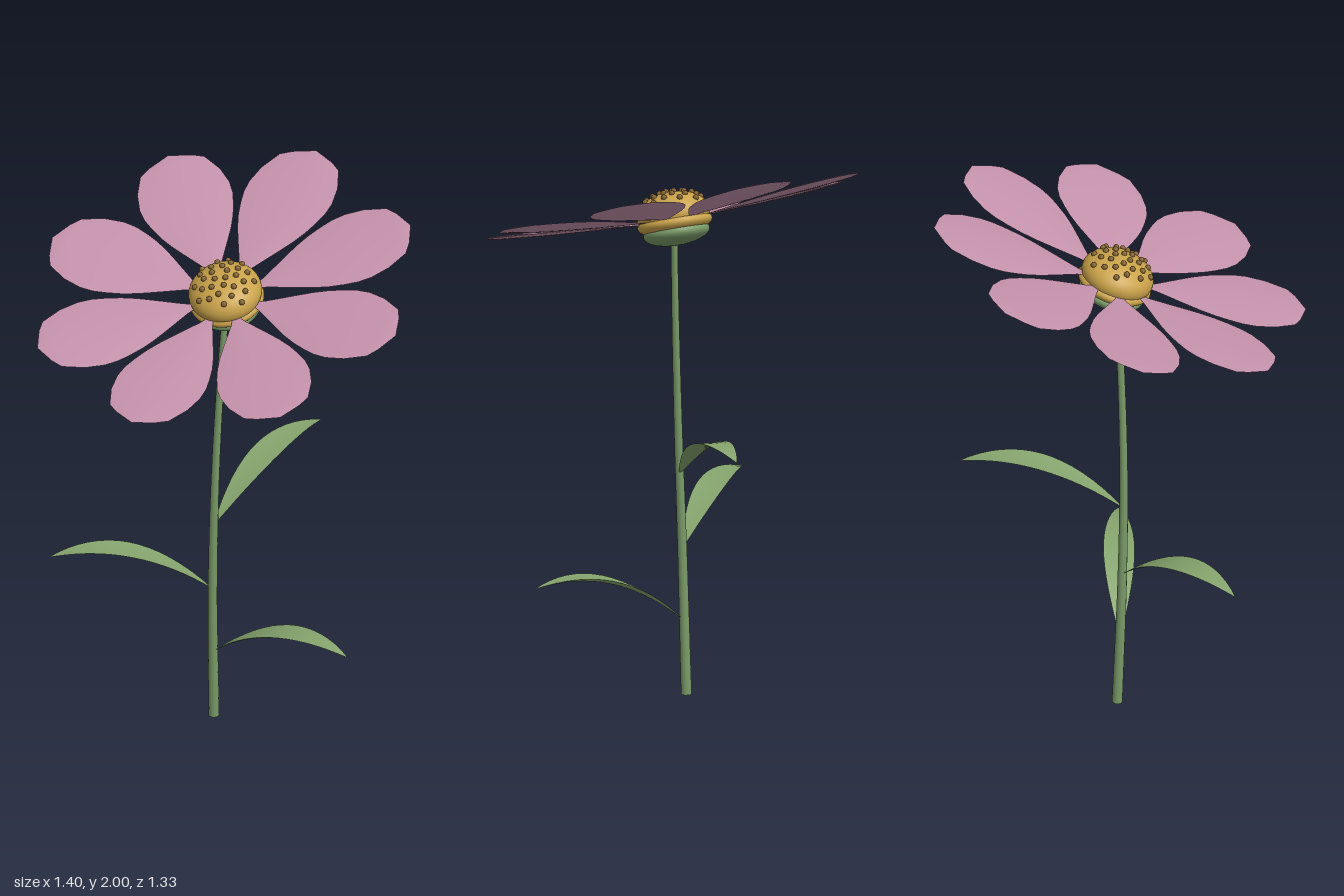
import * as THREE from 'three';

const mat = (name, color) => new THREE.MeshStandardMaterial({ name, color });

function add(parent, name, geometry, material) {
  const mesh = new THREE.Mesh(geometry, material);
  mesh.name = name;
  parent.add(mesh);
  return mesh;
}

// Thin lens-shaped blade along +x: rows are [distance, height, halfWidth]
function bladeGeometry(rows, thickness, cup, cols = 10) {
  const pos = [], index = [];
  const widest = Math.max(...rows.map((r) => r[2]));
  for (const side of [1, -1]) {
    const start = pos.length / 3;
    rows.forEach(([x, y, w], i) => {
      const k = w / widest;
      for (let j = 0; j <= cols; j++) {
        const u = (j / cols) * 2 - 1;
        pos.push(x, y + k * (side * thickness * (1 - u * u) + cup * u * u), u * w);
        if (i === rows.length - 1 || j === cols) continue;
        const a = start + i * (cols + 1) + j, b = a + cols + 1;
        if (side > 0) index.push(a, a + 1, b, b, a + 1, b + 1);
        else index.push(a, b, a + 1, b, b + 1, a + 1);
      }
    });
  }
  const g = new THREE.BufferGeometry();
  g.setAttribute('position', new THREE.Float32BufferAttribute(pos, 3));
  g.setIndex(index);
  g.computeVertexNormals();
  return g;
}

export function createModel() {
  const flower = new THREE.Group();
  flower.name = 'flower';

  const petalPink = mat('petal pink', 0xc592ac);
  const discGold = mat('disc gold', 0xc9a24a);
  const seedBrown = mat('seed brown', 0x80602a);
  const stemGreen = mat('stem green', 0x7a9a68);
  const leafGreen = mat('leaf green', 0x86a56e);

  // Stem: gently bent tube that tapers upwards
  const curve = new THREE.CatmullRomCurve3([
    new THREE.Vector3(-0.05, 0, -0.016),
    new THREE.Vector3(-0.045, 0.5, 0.002),
    new THREE.Vector3(-0.032, 0.95, 0.009),
    new THREE.Vector3(-0.014, 1.4, 0),
    new THREE.Vector3(0, 1.7, -0.015),
  ]);
  const segs = 40, sides = 12;
  const stem = new THREE.TubeGeometry(curve, segs, 0.019, sides);
  const p = stem.attributes.position, v = new THREE.Vector3();
  for (let i = 0; i <= segs; i++) {
    const c = curve.getPointAt(i / segs);
    for (let j = 0; j <= sides; j++) {
      const n = i * (sides + 1) + j;
      v.fromBufferAttribute(p, n).sub(c).multiplyScalar(1 - 0.38 * (i / segs)).add(c);
      p.setXYZ(n, v.x, Math.max(0, v.y), v.z);
    }
  }
  add(flower, 'stem', stem, stemGreen);
  const foot = add(flower, 'stemFoot', new THREE.CircleGeometry(0.019, sides), stemGreen);
  foot.rotation.x = Math.PI / 2;
  foot.position.set(-0.05, 0.0005, -0.016);

  // Leaves: arching blades spiralling up the stem by the golden angle
  const leafRows = [];
  for (let i = 0; i <= 16; i++) {
    const t = i / 16;
    const w = 0.055 * Math.pow(Math.max(0, Math.sin(Math.PI * t)), 0.85);
    leafRows.push([0.585 * t, 0.51 * t - 0.34 * t * t, w + 0.001 * (1 - t)]);
  }
  const leafGeo = bladeGeometry(leafRows, 0.008, 0.01);
  [[-0.045, 0.27, -0.005], [-0.045, 0.53, 0.003], [-0.035, 0.8, 0.007]].forEach((at, i) => {
    const leaf = add(flower, 'leaf' + (i + 1), leafGeo, leafGreen);
    leaf.position.set(...at);
    leaf.rotation.y = -THREE.MathUtils.degToRad(6 + 137.5 * i);
  });

  // Flower head, tilted to the front
  const head = new THREE.Group();
  head.name = 'flowerHead';
  head.position.set(0, 1.735, -0.016);
  head.rotation.x = 0.32;
  flower.add(head);

  // Petals: teardrops with a blunt angular tip, rising slightly outwards
  const outline = [
    [0.1, 0.004], [0.15, 0.026], [0.2, 0.055], [0.25, 0.084], [0.3, 0.112], [0.35, 0.135],
    [0.4, 0.152], [0.45, 0.165], [0.5, 0.168], [0.57, 0.155], [0.645, 0.12], [0.67, 0.08], [0.7, 0],
  ];
  const petalGeo = bladeGeometry(
    outline.map(([r, w]) => [r, 0.05 * ((r - 0.1) / 0.6), w]), 0.008, 0);
  for (let i = 0; i < 8; i++) {
    add(head, 'petal' + (i + 1), petalGeo, petalPink).rotation.y = (i * Math.PI) / 4;
  }

  // Green cup, golden rim and dome
  const ball = new THREE.SphereGeometry(1, 32, 20);
  const ellipsoid = (name, y, r, h, material) => {
    const m = add(head, name, ball, material);
    m.position.y = y;
    m.scale.set(r, h, r);
  };
  ellipsoid('calyx', -0.045, 0.12, 0.046, stemGreen);
  ellipsoid('discRim', -0.012, 0.135, 0.044, discGold);
  ellipsoid('discDome', 0.022, 0.132, 0.08, discGold);

  // Seeds in a sunflower spiral over the dome
  const seedGeo = new THREE.SphereGeometry(0.011, 8, 6);
  const count = 30;
  for (let i = 0; i < count; i++) {
    const r = 0.118 * Math.sqrt((i + 0.5) / count), a = i * 2.39996;
    const y = 0.022 + 0.08 * Math.sqrt(1 - (r / 0.132) ** 2);
    add(head, 'seed' + (i + 1), seedGeo, seedBrown)
      .position.set(r * Math.cos(a), y + 0.002, r * Math.sin(a));
  }
  return flower;
}
